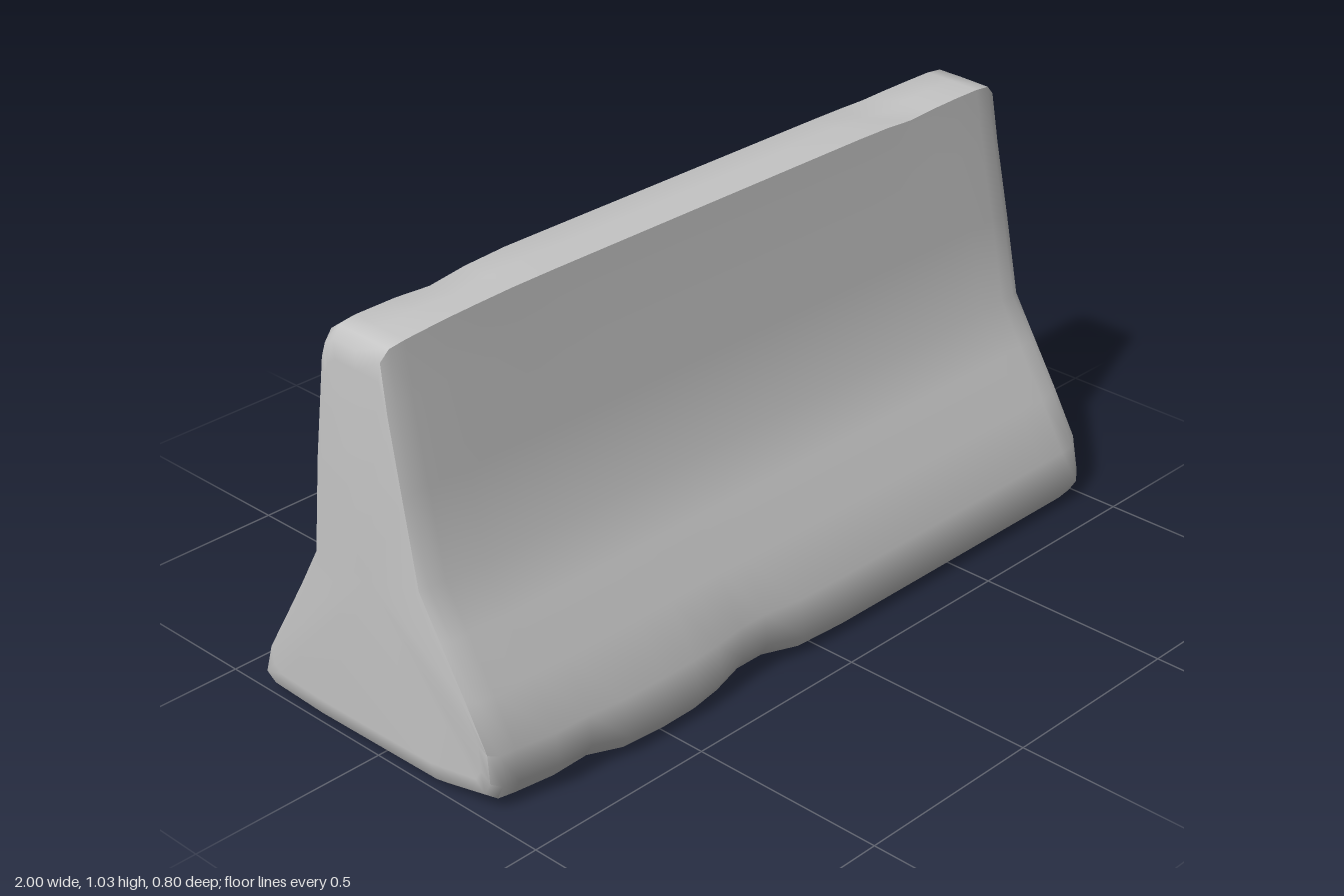
import * as THREE from 'three';
import { toCreasedNormals } from 'three/addons/utils/BufferGeometryUtils.js';

// Cross-section [z, y]: down the front, along the base, up the back
const PROFILE = [
  [0.062, 1.027], [0.085, 0.9], [0.128, 0.7], [0.17, 0.49], [0.235, 0.385], [0.31, 0.265], [0.383, 0.14],
  [0.402, 0.045], [0.382, 0.012], [0.2, 0.008], [-0.2, 0.003], [-0.372, 0.01], [-0.402, 0.03],
  [-0.378, 0.11], [-0.31, 0.225], [-0.24, 0.345], [-0.182, 0.45], [-0.158, 0.7], [-0.129, 0.97],
  [-0.118, 1.01], [-0.092, 1.031], [-0.02, 1.03],
];

// Worn spots: centre x, y, z, radius, push x, y, z
const DENTS = [
  [-0.96, 0.05, 0.4, 0.16, 0.02, 0.02, -0.045],
  [-0.75, 0.03, 0.4, 0.14, 0, 0.03, -0.02],
  [-0.2, 0.03, 0.4, 0.16, 0, 0.03, -0.022],
  [-0.24, 0.24, -0.3, 0.13, 0, -0.012, 0.025],
  [0.95, 0.42, -0.2, 0.12, -0.01, 0, 0.025],
  [0.68, 1.03, 0, 0.1, 0, -0.014, 0],
  [-0.72, 1.03, -0.08, 0.14, 0, -0.012, 0.01],
  [-0.98, 1.03, 0, 0.25, 0.01, -0.02, 0],
];

// Rings along the length: [x, shrink]; the ends are bevelled and closed
const END = [[1, 1], [1, 0.13], [0.998, 0.05], [0.975, 0.008], [0.93, 0]];
const MIDDLE = [-0.82, -0.72, -0.62, -0.5, -0.4, -0.32, -0.24, -0.16, -0.05, 0.1, 0.3, 0.5, 0.6, 0.68, 0.76, 0.85];
const RINGS = [
  ...END.map(([x, k]) => [-x, k]),
  ...MIDDLE.map((x) => [x, 0]),
  ...END.slice().reverse(),
];

function surfacePoint(x, shrink, [z, y]) {
  const p = new THREE.Vector3(x, 0.45 + (y - 0.45) * (1 - shrink), z * (1 - shrink));
  p.x *= 1 - 0.01 * Math.max(0, p.y - 0.45);
  const q = p.clone();
  for (const [cx, cy, cz, r, dx, dy, dz] of DENTS) {
    const d2 = (p.x - cx) ** 2 + (p.y - cy) ** 2 + (p.z - cz) ** 2;
    const w = Math.exp((-2 * d2) / (r * r));
    q.add(new THREE.Vector3(dx * w, dy * w, dz * w));
  }
  return q;
}

function barrierGeometry() {
  const n = PROFILE.length;
  const positions = [];
  const index = [];
  for (const [x, k] of RINGS) {
    for (const point of PROFILE) positions.push(...surfacePoint(x, k, point).toArray());
  }
  const last = RINGS.length - 2;
  for (let i = 0; i <= last; i++) {
    for (let j = 0; j < n; j++) {
      const a = i * n + j, b = i * n + ((j + 1) % n);
      const c = b + n, d = a + n;
      // The outermost rings shrink to a point, so they need one triangle only
      if (i === 0) index.push(a, c, d);
      else if (i === last) index.push(a, b, c);
      else index.push(a, b, c, a, c, d);
    }
  }
  const geometry = new THREE.BufferGeometry();
  geometry.setAttribute('position', new THREE.Float32BufferAttribute(positions, 3));
  geometry.setIndex(index);
  return toCreasedNormals(geometry, 0.9);
}

export function createModel() {
  const concrete = new THREE.MeshStandardMaterial({ color: 0xc4c4c4 });
  concrete.name = 'concrete';
  const barrier = new THREE.Mesh(barrierGeometry(), concrete);
  barrier.name = 'barrierBody';
  const group = new THREE.Group();
  group.name = 'concreteBarrier';
  group.add(barrier);
  return group;
}
